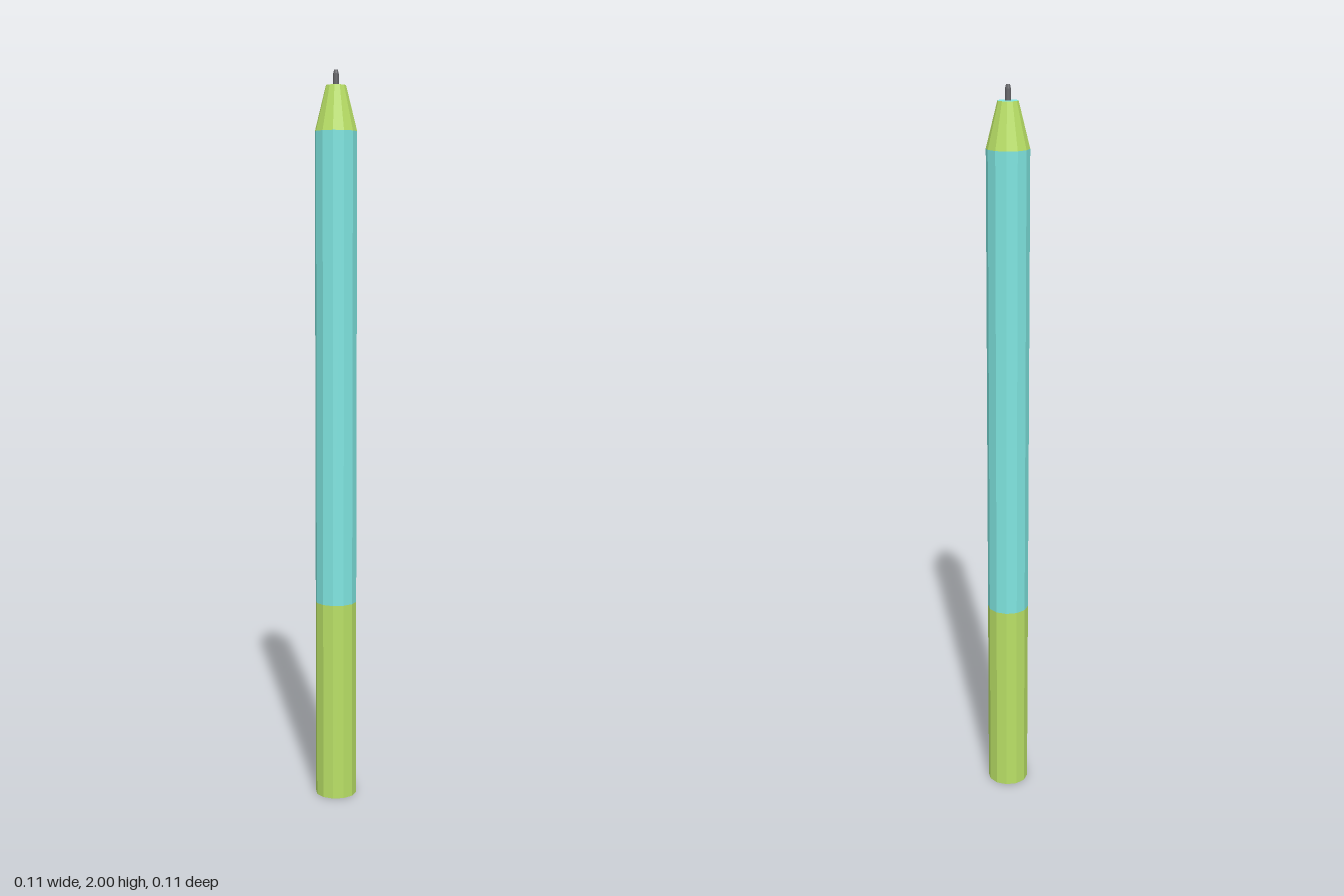
import * as THREE from 'three';

const SIDES = 12;

export function createModel() {
  const group = new THREE.Group();
  group.name = 'pen';

  const material = (color) => new THREE.MeshStandardMaterial({ color, flatShading: true });
  const cyan = material(0x7fe5e0);
  const green = material(0xb9e066);
  const dark = material(0x66666a);

  // One stacked section of the pen, from y0 to y1
  function section(name, y0, y1, bottomRadius, topRadius, mat, open = false, sides = SIDES) {
    const geometry = new THREE.CylinderGeometry(topRadius, bottomRadius, y1 - y0, sides, 1, open);
    const mesh = new THREE.Mesh(geometry, mat);
    mesh.name = name;
    mesh.position.y = (y0 + y1) / 2;
    group.add(mesh);
    return mesh;
  }

  // Barrel: green grip end, cyan body, green tapered nose
  section('endCap', 0, 0.555, 0.057, 0.057, green, true);
  section('barrel', 0.555, 1.84, 0.057, 0.057, cyan, true);
  section('noseCone', 1.84, 1.96, 0.057, 0.027, green, true);

  // Flat discs closing both ends
  const disc = new THREE.CircleGeometry(1, SIDES);
  const addDisc = (name, y, radius, mat, turn) => {
    const mesh = new THREE.Mesh(disc, mat);
    mesh.name = name;
    mesh.scale.setScalar(radius);
    mesh.rotation.x = turn;
    mesh.position.y = y;
    group.add(mesh);
  };
  addDisc('noseFace', 1.96, 0.027, cyan, -Math.PI / 2);
  addDisc('endFace', 0, 0.057, green, Math.PI / 2);

  // Writing point
  section('tip', 1.96, 1.99, 0.0075, 0.0075, dark);
  section('tipPoint', 1.99, 2, 0.0075, 0.005, dark);

  return group;
}
